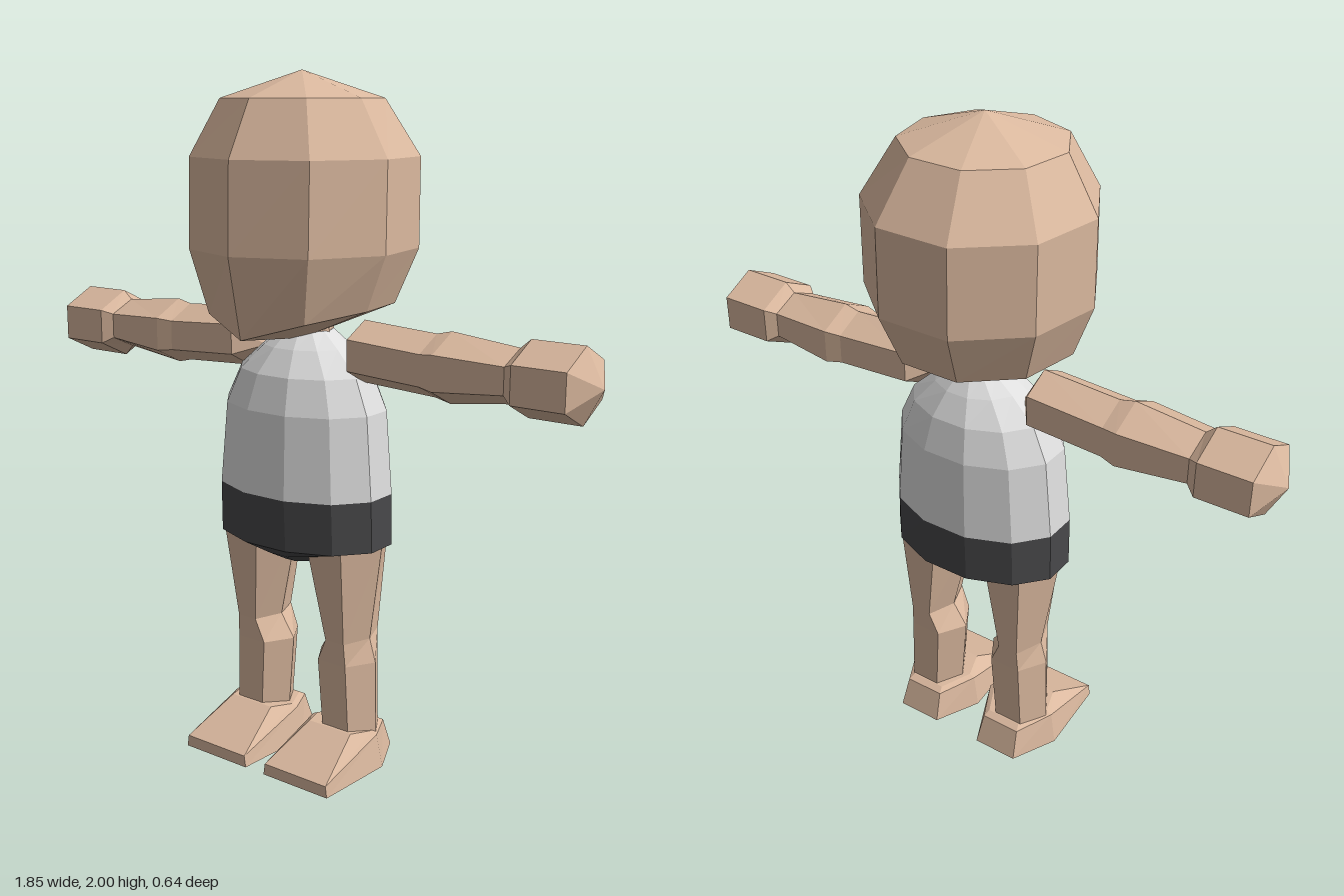
import * as THREE from 'three';

const material = (name, color) => {
  const m = new THREE.MeshStandardMaterial({ color });
  m.name = name;
  return m;
};

// Ring of n points around the y axis, counter-clockwise seen from above.
function ring(n, y, rx, rz, cx = 0, cz = 0, offset = 0) {
  return Array.from({ length: n }, (_, i) => {
    const a = ((i + offset) / n) * Math.PI * 2;
    return [cx + rx * Math.sin(a), y, cz + rz * Math.cos(a)];
  });
}

// Faceted skin over rings listed bottom to top; a ring of one point is a tip.
function loft(rings) {
  const pos = [];
  const tri = (a, b, c) => pos.push(...a, ...b, ...c);
  const centre = r => [0, 1, 2].map(k => r.reduce((s, p) => s + p[k], 0) / r.length);
  const all = [[centre(rings[0])], ...rings, [centre(rings[rings.length - 1])]];
  for (let k = 0; k + 1 < all.length; k++) {
    const A = all[k], B = all[k + 1];
    const n = Math.max(A.length, B.length);
    if (n === 1) continue;
    for (let i = 0; i < n; i++) {
      const j = (i + 1) % n;
      const a0 = A[i % A.length], a1 = A[j % A.length];
      const b0 = B[i % B.length], b1 = B[j % B.length];
      if (A.length > 1) tri(a0, a1, b1);
      if (B.length > 1) tri(a0, b1, b0);
    }
  }
  const g = new THREE.BufferGeometry();
  g.setAttribute('position', new THREE.Float32BufferAttribute(pos, 3));
  g.computeVertexNormals();
  return g;
}

export function createModel() {
  const skin = material('skin', 0xdbb99f);
  const shirt = material('shirtWhite', 0xdedede);
  const dark = material('shortsGrey', 0x48484a);
  const model = new THREE.Group();
  const add = (name, geometry, mat) => {
    const mesh = new THREE.Mesh(geometry, mat);
    mesh.name = name;
    model.add(mesh);
    return mesh;
  };

  // Nine-sided head; the lowest ring dips at the chin
  const jaw = ring(9, 1.365, 0.26, 0.272);
  jaw[0][1] = 1.29;
  jaw[1][1] = jaw[8][1] = 1.34;
  add('head', loft([
    [[0, 1.26, 0]],
    jaw,
    ring(9, 1.52, 0.32, 0.33, 0, -0.01),
    ring(9, 1.77, 0.32, 0.325, 0, -0.012),
    ring(9, 1.925, 0.229, 0.227),
    [[0, 2, 0]],
  ]), skin);

  add('neck', loft([
    ring(8, 1.22, 0.08, 0.08, 0, -0.03),
    ring(8, 1.34, 0.07, 0.07, 0, -0.03),
  ]), skin);

  // Torso: [y, half width, half depth, z centre]
  const body = rows => loft(rows.map(([y, rx, rz, cz]) =>
    ring(12, y, rx / 0.966, rz / 0.966, 0, cz, 0.5)));
  add('shirt', body([
    [0.83, 0.272, 0.193, -0.013],
    [1.07, 0.25, 0.183, -0.017],
    [1.17, 0.205, 0.155, -0.02],
    [1.24, 0.13, 0.11, -0.025],
    [1.285, 0.07, 0.07, -0.03],
  ]), shirt);
  add('shorts', body([
    [0.607, 0.06, 0.07, -0.015],
    [0.64, 0.11, 0.13, -0.015],
    [0.68, 0.275, 0.188, -0.014],
    [0.83, 0.272, 0.193, -0.013],
  ]), dark);

  // Hexagonal arm along x: [x, half height, half depth, y]
  const armRows = [
    [0.206, 0.088, 0.085, 1.243],
    [0.44, 0.087, 0.087, 1.23],
    [0.487, 0.098, 0.1, 1.23],
    [0.69, 0.074, 0.083, 1.233],
    [0.72, 0.103, 0.105, 1.23],
    [0.873, 0.103, 0.105, 1.23],
  ];
  const armRings = armRows.map(([x, h, d, y]) =>
    ring(6, x, h, d / 0.866, -y, 0, 0.5));

  // Hexagonal leg: [y, half width, half depth, x, z]
  const legRows = [
    [0.1, 0.092, 0.078, 0.162, -0.028],
    [0.32, 0.098, 0.084, 0.151, -0.028],
    [0.39, 0.064, 0.088, 0.164, -0.028],
    [0.69, 0.122, 0.118, 0.152, -0.017],
  ];

  // Foot outline: toe, side, heel, mirrored about the foot's own middle
  const footRing = (cx, toe, side, heel) => [
    [1, toe], [1, side], [1, heel], [-1, heel], [-1, side], [-1, toe],
  ].map(([m, [w, y, z]]) => [cx + m * w, y, z]);

  for (const [side, s] of [['left', 1], ['right', -1]]) {
    const arm = loft([[[-1.222, 0.145, 0]], ...armRings, [[-1.228, 0.926, 0]]]);
    arm.rotateZ(-Math.PI / 2);
    if (s < 0) arm.rotateY(Math.PI);
    arm.translate(0, 0, -0.016);
    add(side + 'Arm', arm, skin);

    add(side + 'Leg', loft(legRows.map(([y, w, d, x, z]) =>
      ring(6, y, w, d / 0.866, s * x, z, 0.5))), skin);

    add(side + 'Foot', loft([
      footRing(s * 0.149, [0.115, 0, 0.23], [0.135, 0, -0.02], [0.07, 0, -0.16]),
      footRing(s * 0.149, [0.11, 0.035, 0.23], [0.117, 0.1, -0.015], [0.062, 0.088, -0.13]),
      footRing(s * 0.149, [0.075, 0.118, 0.06], [0.1, 0.108, -0.015], [0.055, 0.1, -0.11]),
    ]), skin);
  }
  return model;
}
